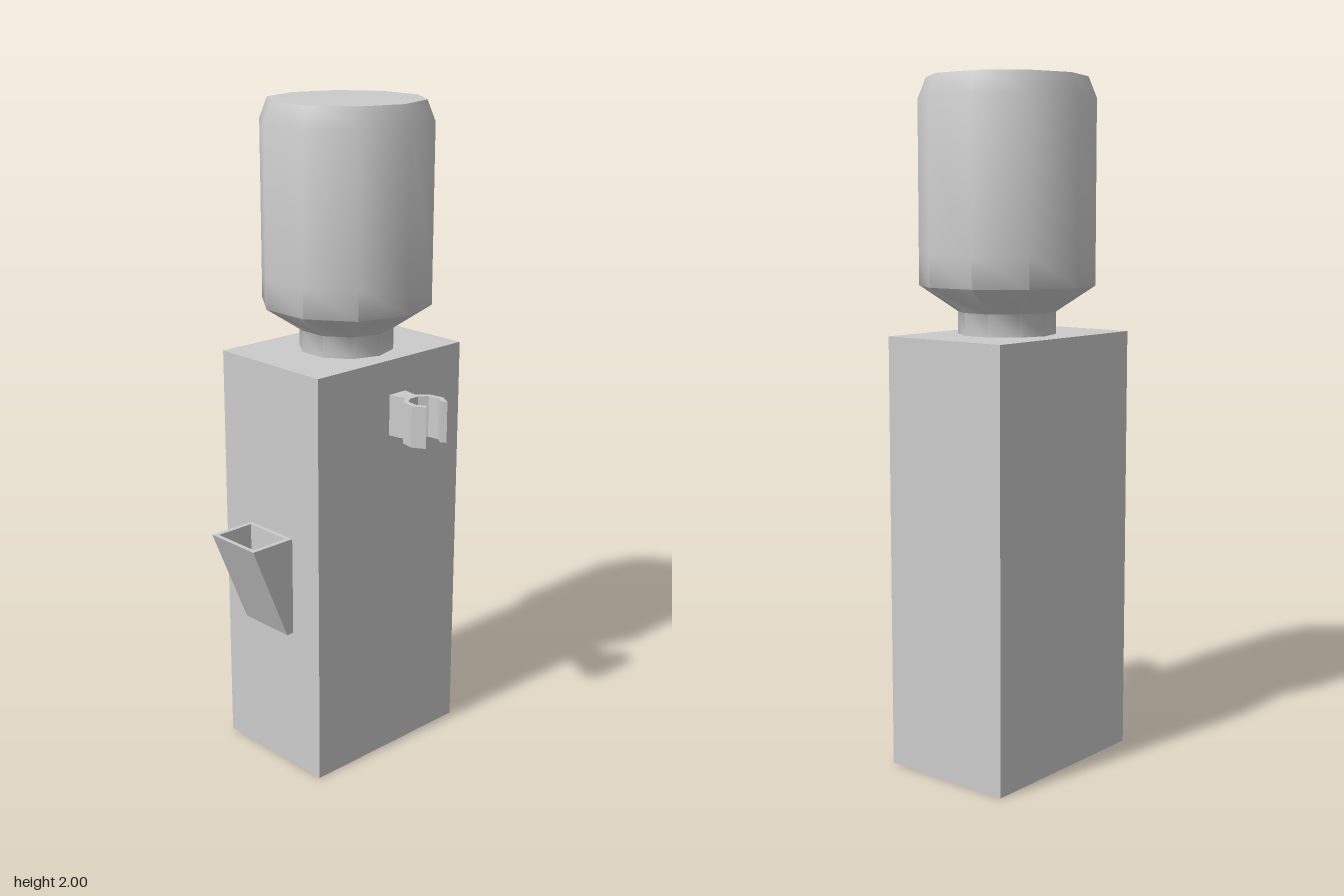
import * as THREE from 'three';
import { toCreasedNormals } from 'three/addons/utils/BufferGeometryUtils.js';

const material = new THREE.MeshStandardMaterial({ color: 0xcccccc });

function part(name, geometry, parent) {
  const mesh = new THREE.Mesh(geometry, material);
  mesh.name = name;
  parent.add(mesh);
  return mesh;
}

function extrude(points, depth) {
  const shape = new THREE.Shape(points.map(([a, b]) => new THREE.Vector2(a, b)));
  return new THREE.ExtrudeGeometry(shape, { depth, bevelEnabled: false });
}

// Side profile given as [z, y], extruded across x from x0 to x1
function extrudeAcross(points, x0, x1) {
  return extrude(points, x1 - x0).rotateY(-Math.PI / 2).translate(x1, 0, 0);
}

// Plan outline given as [x, z], extruded upward from y0 to y1
function extrudeUp(points, y0, y1) {
  return extrude(points.map(([x, z]) => [x, -z]), y1 - y0)
    .rotateX(-Math.PI / 2).translate(0, y0, 0);
}

export function createModel() {
  const model = new THREE.Group();
  model.name = 'waterDispenser';

  // Cabinet
  part('cabinet', new THREE.BoxGeometry(0.416, 1.27, 0.585), model)
    .position.set(-0.063, 0.635, -0.0755);

  // Ten-sided upturned bottle with its neck resting on the cabinet
  const profile = [
    [0.143, 1.265], [0.143, 1.335], [0.256, 1.41], [0.256, 1.5],
    [0.256, 1.94], [0.232, 2], [0, 2],
  ].map(([r, y]) => new THREE.Vector2(r, y));
  const bottle = new THREE.LatheGeometry(profile, 10, Math.PI / 2);
  part('bottle', toCreasedNormals(bottle, Math.PI / 3), model)
    .position.set(-0.053, 0, -0.08);

  // Hollow drip tray: two cheeks and a channel with a raised floor
  const tray = new THREE.Group();
  tray.name = 'dripTray';
  model.add(tray);
  const top = 0.755, bottom = 0.45, floor = 0.52;
  const cheek = [[0.217, bottom], [0.241, bottom], [0.367, top], [0.217, top]];
  const channel = [
    [0.217, bottom], [0.241, bottom], [0.367, top], [0.353, top],
    [0.258, floor], [0.23, floor], [0.23, top], [0.217, top],
  ];
  part('trayRightCheek', extrudeAcross(cheek, -0.158, -0.143), tray);
  part('trayChannel', extrudeAcross(channel, -0.143, 0.016), tray);
  part('trayLeftCheek', extrudeAcross(cheek, 0.016, 0.03), tray);

  // Open cup clip on a short stem
  const clip = [
    [0.143, -0.133], [0.197, -0.124], [0.226, -0.156], [0.27, -0.163],
    [0.308, -0.14], [0.293, -0.13], [0.268, -0.146], [0.233, -0.141],
    [0.213, -0.117], [0.213, -0.084], [0.229, -0.06], [0.264, -0.053],
    [0.292, -0.068], [0.305, -0.056], [0.267, -0.035], [0.225, -0.044],
    [0.2, -0.076], [0.143, -0.067],
  ];
  part('cupClip', toCreasedNormals(extrudeUp(clip, 1.04, 1.165), 0.5), model);

  return model;
}
